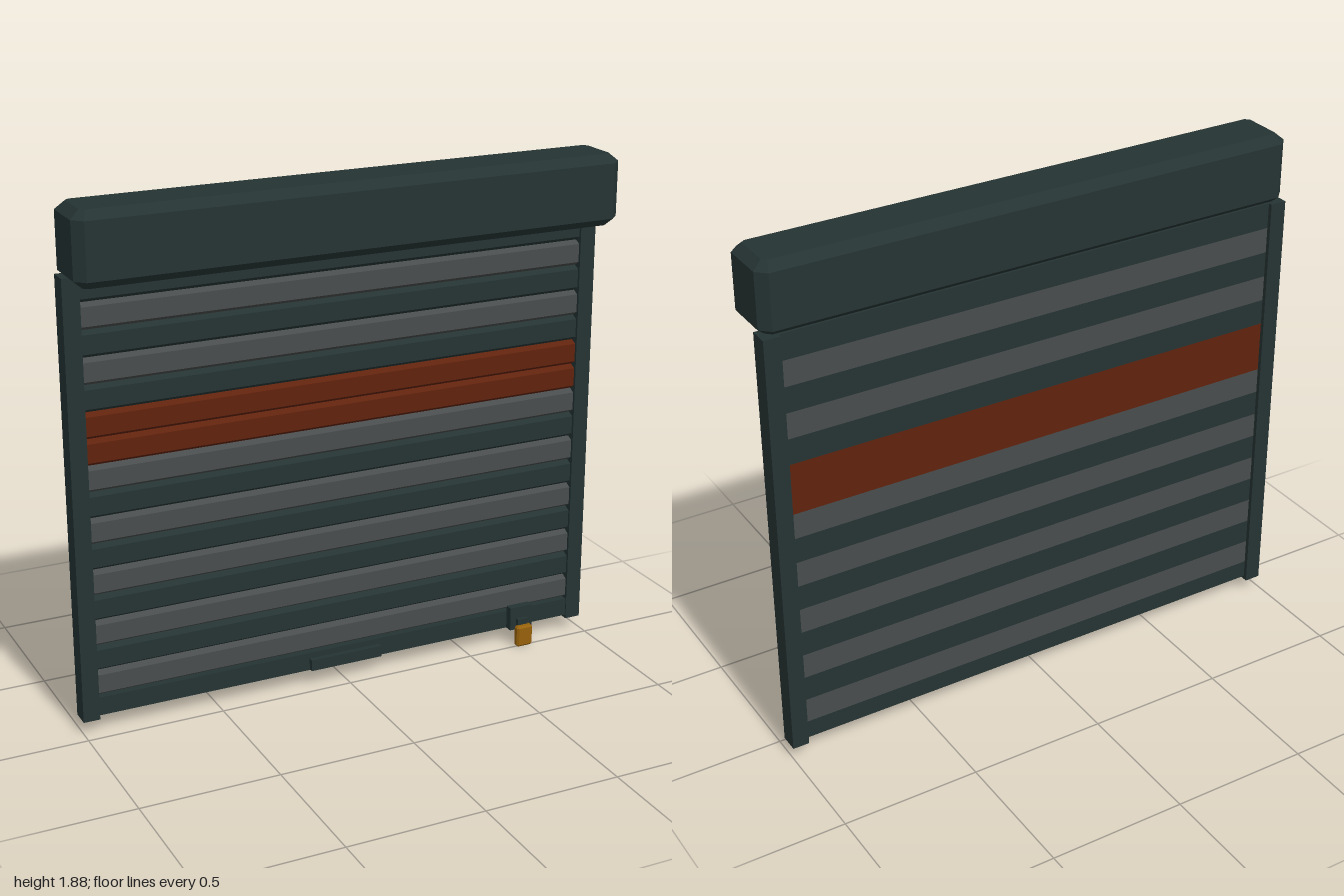
import * as THREE from 'three';

const paint = (name, color) => {
  const m = new THREE.MeshStandardMaterial({ color });
  m.name = name;
  return m;
};

export function createModel() {
  const model = new THREE.Group();
  const dark = paint('darkSlate', 0x253333);
  const grey = paint('grey', 0x494c4c);
  const rust = paint('rustRed', 0x60230d);
  const brass = paint('brass', 0x98620c);

  const add = (name, geometry, material) => {
    const mesh = new THREE.Mesh(geometry, material);
    mesh.name = name;
    model.add(mesh);
    return mesh;
  };
  // Box given by its limits on each axis
  const box = (name, material, x0, x1, y0, y1, z0, z1) =>
    add(name, new THREE.BoxGeometry(x1 - x0, y1 - y0, z1 - z0), material)
      .position.set((x0 + x1) / 2, (y0 + y1) / 2, (z0 + z1) / 2);

  // Upright block with cut corners and bevelled top and bottom
  const bevelBlock = (w, h, d, cut, inset, rise) => {
    const x = w / 2, z = d / 2;
    const outline = new THREE.Shape([
      [-x + cut, -z], [x - cut, -z], [x, -z + cut], [x, z - cut],
      [x - cut, z], [-x + cut, z], [-x, z - cut], [-x, -z + cut],
    ].map(p => new THREE.Vector2(...p)));
    return new THREE.ExtrudeGeometry(outline, {
      depth: h - 2 * rise, bevelEnabled: true, bevelSegments: 1,
      bevelSize: inset, bevelOffset: -inset, bevelThickness: rise,
    }).translate(0, 0, rise - h / 2).rotateX(-Math.PI / 2);
  };

  // Profile of [z, y] points swept across the opening
  const sweep = (points, width) => new THREE.ExtrudeGeometry(
    new THREE.Shape(points.map(([z, y]) => new THREE.Vector2(-z, y))),
    { depth: width, bevelEnabled: false },
  ).rotateY(Math.PI / 2).translate(-width / 2, 0, 0);

  // Roller housing
  add('rollerHousing', bevelBlock(2, 0.255, 0.23, 0.034, 0.033, 0.029), dark)
    .position.y = 1.7505;

  // Side guide rails
  for (const s of [-1, 1])
    box(s > 0 ? 'leftRail' : 'rightRail', dark,
      s > 0 ? 0.94 : -1, s > 0 ? 1 : -0.94, 0.047, 1.63, -0.115, -0.045);

  // Sixteen slats, alternating grey and dark with a rust red pair
  const pitch = 0.0939;
  const slat = sweep([
    [-0.1, 0], [-0.078, 0], [-0.055, 0.015], [-0.055, 0.082], [-0.078, pitch], [-0.1, pitch],
  ], 1.9);
  for (let i = 0; i < 16; i++) {
    const material = i === 9 || i === 10 ? rust : i % 2 ? dark : grey;
    add('slat' + (i + 1), slat, material).position.y = 0.128 + i * pitch;
  }

  // Bottom bar with pull handle
  box('bottomBar', dark, -0.945, 0.945, 0.06, 0.128, -0.1, -0.05);
  box('pullHandle', dark, -0.14, 0.14, 0.064, 0.106, -0.05, -0.03);

  // Hasp, staple and padlock
  box('hasp', dark, 0.68, 0.773, 0.06, 0.15, -0.05, -0.02);
  box('staple', dark, 0.705, 0.748, 0.068, 0.105, -0.02, -0.006);
  add('padlock', bevelBlock(0.066, 0.082, 0.03, 0.007, 0.006, 0.007), brass)
    .position.set(0.727, 0.041, -0.002);

  return model;
}
